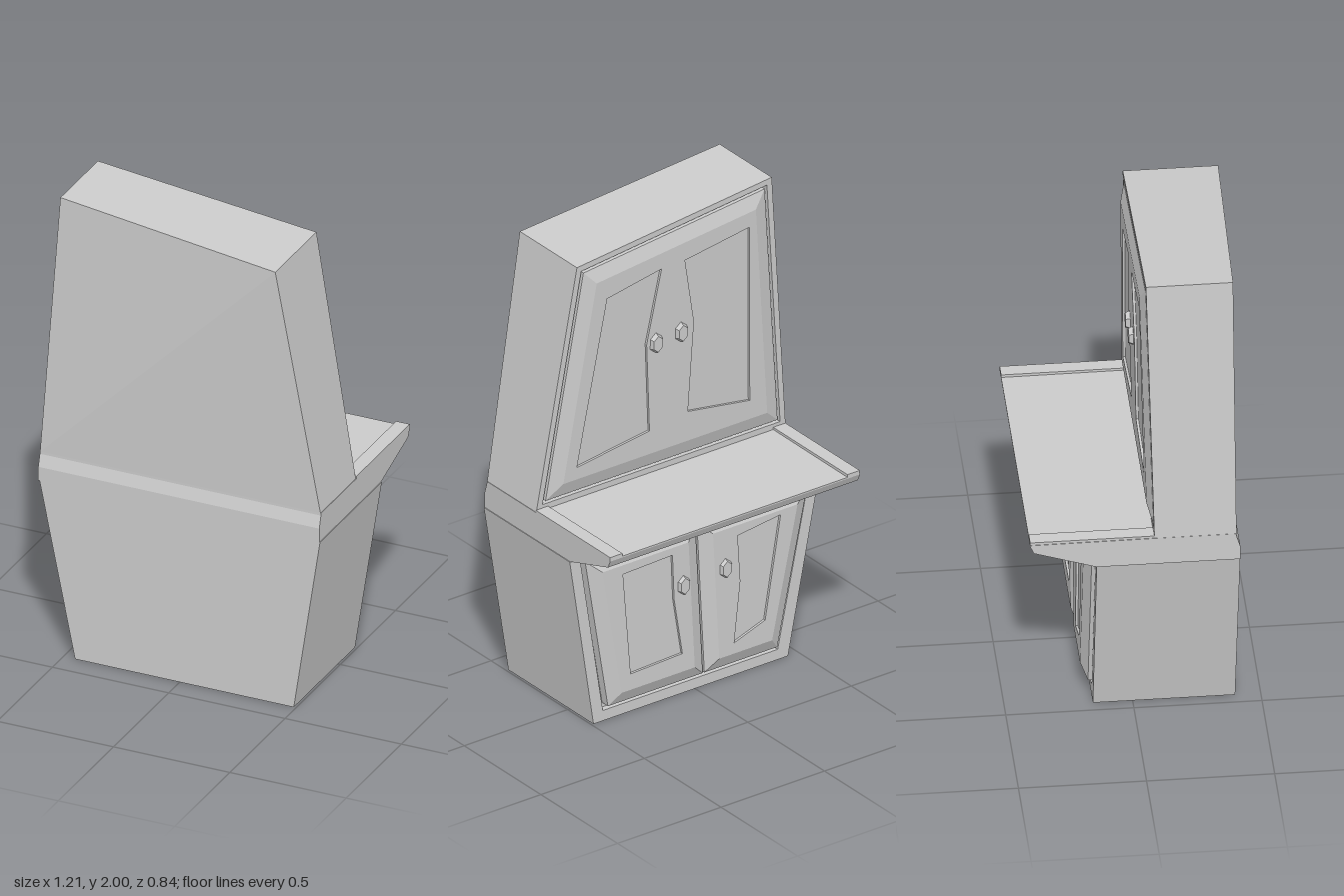
import * as THREE from 'three';

const grey = new THREE.MeshStandardMaterial({ color: 0xcccccc, flatShading: true });
const thin = new THREE.MeshStandardMaterial({ color: 0xcccccc, flatShading: true, side: THREE.DoubleSide });

function add(parent, name, geometry, material = grey) {
  const mesh = new THREE.Mesh(geometry, material);
  mesh.name = name;
  parent.add(mesh);
  return mesh;
}

// Joins successive loops of [x, y, z] points with quads; one edge may be left open
function loft(loops, { caps = false, open = -1 } = {}) {
  const pos = [];
  const tri = (...p) => p.forEach((q) => pos.push(...q));
  for (let k = 0; k + 1 < loops.length; k++) {
    const lo = loops[k], hi = loops[k + 1];
    lo.forEach((a, i) => {
      if (i === open) return;
      const j = (i + 1) % lo.length;
      tri(a, lo[j], hi[j]);
      tri(a, hi[j], hi[i]);
    });
  }
  if (caps) {
    const b = loops[0], t = loops[loops.length - 1];
    tri(b[0], b[2], b[1]); tri(b[0], b[3], b[2]);
    tri(t[0], t[1], t[2]); tri(t[0], t[2], t[3]);
  }
  const g = new THREE.BufferGeometry();
  g.setAttribute('position', new THREE.Float32BufferAttribute(pos, 3));
  g.computeVertexNormals();
  return g;
}

// Shrinks an [x, y] outline evenly by d
function inset(loop, d) {
  const n = loop.length;
  const normal = (a, b) => {
    const dx = b[0] - a[0], dy = b[1] - a[1], l = Math.hypot(dx, dy);
    return [dy / l, -dx / l];
  };
  return loop.map((p, i) => {
    const a = normal(loop[(i + n - 1) % n], p), b = normal(p, loop[(i + 1) % n]);
    const k = d / (1 + a[0] * b[0] + a[1] * b[1]);
    return [p[0] + k * (a[0] + b[0]), p[1] + k * (a[1] + b[1])];
  });
}

// Depth of the two door walls at height y
const upperWall = (y) => 0.07 - 0.022 * (y - 0.87);
const lowerWall = () => -0.155;
const place = (loop, wall, d) => loop.map(([x, y]) => [x, y, wall(y) + d]);

// Flat sheet facing -z with optional holes
function sheet(outline, holes, wall, d) {
  const flip = (l) => l.map(([x, y]) => new THREE.Vector2(-x, y));
  const shape = new THREE.Shape(flip(outline));
  holes.forEach((h) => shape.holes.push(new THREE.Path(flip(h))));
  const g = new THREE.ShapeGeometry(shape);
  const p = g.attributes.position;
  for (let i = 0; i < p.count; i++) p.setXYZ(i, -p.getX(i), p.getY(i), wall(p.getY(i)) + d);
  g.computeVertexNormals();
  return g;
}

// Bevelled door with sunken panels
function door(parent, name, outline, panels, wall, [floor, edge, face], bevel) {
  const group = new THREE.Group();
  group.name = name;
  parent.add(group);
  const front = inset(outline, bevel);
  add(group, 'doorBevel', loft([place(outline, wall, floor), place(outline, wall, edge), place(front, wall, face)]), thin);
  add(group, 'doorFace', sheet(front, panels, wall, face), thin);
  for (const panel of panels) {
    add(group, 'panelEdge', loft([place(panel, wall, face), place(panel, wall, face + 0.01)]), thin);
    add(group, 'panel', sheet(panel, [], wall, face + 0.01), thin);
  }
}

// Wall with a sunken opening for the doors
function frame(parent, name, outer, inner, wall, depth) {
  add(parent, name, loft([place(outer, wall, 0), place(inner, wall, 0), place(inner, wall, depth)]), thin);
  add(parent, name + 'Back', sheet(inner, [], wall, depth), thin);
}

function knob(parent, x, y, z) {
  const g = new THREE.CylinderGeometry(0.024, 0.032, 0.022, 6).rotateX(-Math.PI / 2);
  const m = add(parent, 'knob', g);
  m.scale.y = 1.45;
  m.position.set(x, y, z);
}

export function createModel() {
  const model = new THREE.Group();
  model.name = 'cabinet';

  // Lower carcass, flaring upward
  add(model, 'lowerCarcass', loft([
    [[-0.45, 0, 0.4], [0.49, 0, 0.4], [0.49, 0, -0.155], [-0.45, 0, -0.155]],
    [[-0.6, 0.75, 0.405], [0.605, 0.75, 0.405], [0.605, 0.75, -0.155], [-0.6, 0.75, -0.155]],
  ], { caps: true, open: 2 }));

  // Upper carcass, narrowing to a slanted top
  const topL = [0.42, 1.9], topR = [-0.52, 2];
  add(model, 'upperCarcass', loft([
    [[-0.605, 0.87, 0.39], [0.6, 0.87, 0.39], [0.6, 0.87, 0.07], [-0.605, 0.87, 0.07]],
    [[...topR, 0.385], [...topL, 0.42], [...topL, upperWall(1.9)], [...topR, upperWall(2)]],
  ], { caps: true, open: 2 }));

  // Worktop: a profile in z and y swept across the width
  const profile = [[0.405, 0.75], [0.405, 0.81], [0.39, 0.86], [0.39, 0.87], [0.07, 0.87],
    [-0.415, 0.868], [-0.415, 0.862], [-0.4, 0.83], [-0.155, 0.75]];
  const top = new THREE.Shape(profile.map(([z, y]) => new THREE.Vector2(-z, y)));
  add(model, 'worktop', new THREE.ExtrudeGeometry(top, { depth: 1.208, bevelEnabled: false })
    .rotateY(Math.PI / 2).translate(-0.606, 0, 0));
  for (const side of [-1, 1]) {
    const rim = add(model, 'worktopRim', new THREE.BoxGeometry(0.059, 0.016, 0.485));
    rim.position.set(side * 0.5735 - 0.001, 0.872, -0.1725);
  }

  // Upper doors
  const upperOuter = [[0.6, 0.87], [-0.605, 0.87], topR, topL];
  frame(model, 'upperFrame', upperOuter, inset(upperOuter, 0.025), upperWall, 0.03);
  door(model, 'upperDoors', inset(upperOuter, 0.037), [
    [[0.42, 1.02], [0.07, 1.07], [0.09, 1.46], [0.023, 1.775], [0.285, 1.727]],
    [[-0.115, 1.097], [-0.415, 1.05], [-0.4, 1.824], [-0.09, 1.777], [-0.138, 1.49]],
  ], upperWall, [0.03, 0.0, -0.019], 0.06);
  knob(model, 0.046, 1.455, 0.031);
  knob(model, -0.075, 1.465, 0.031);

  // Lower doors
  const lowerOuter = [[0.49, 0], [-0.45, 0], [-0.6, 0.75], [0.605, 0.75]];
  const lowerInner = [[0.445, 0.045], [-0.4, 0.045], [-0.55, 0.745], [0.555, 0.745]];
  frame(model, 'lowerFrame', lowerOuter, lowerInner, lowerWall, 0.025);
  const depths = [0.025, -0.013, -0.04];
  door(model, 'leftLowerDoor', [[0.43, 0.065], [-0.028, 0.065], [0.008, 0.735], [0.54, 0.735]],
    [[[0.34, 0.19], [0.09, 0.2], [0.13, 0.45], [0.138, 0.648], [0.377, 0.64]]], lowerWall, depths, 0.055);
  door(model, 'rightLowerDoor', [[-0.036, 0.065], [-0.388, 0.065], [-0.535, 0.735], [0, 0.735]],
    [[[-0.16, 0.167], [-0.31, 0.22], [-0.385, 0.66], [-0.177, 0.634], [-0.19, 0.43]]], lowerWall, depths, 0.055);
  for (const [x, y] of [[0.085, 0.5], [-0.118, 0.51]]) knob(model, x, y, -0.198);

  return model;
}
